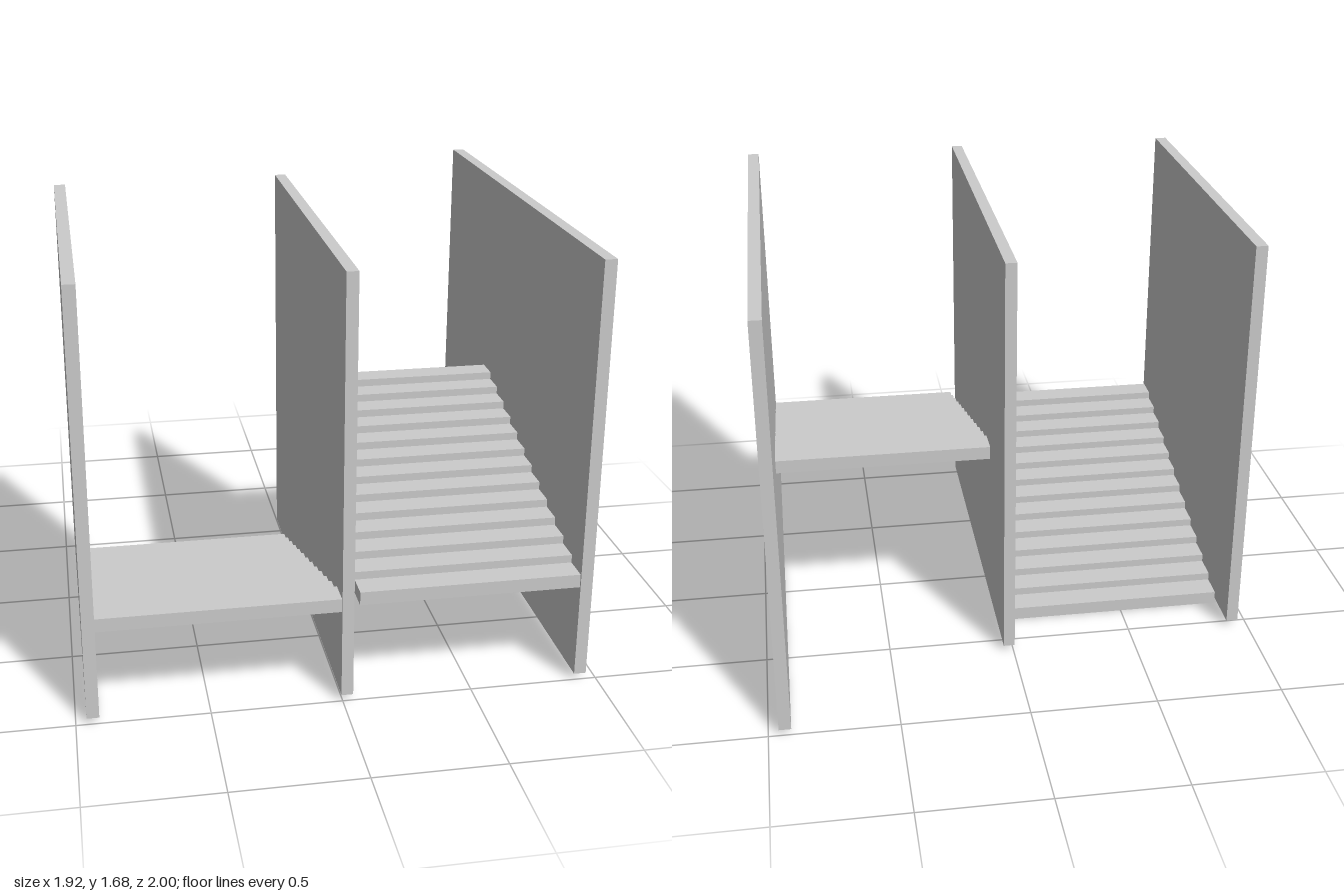
import * as THREE from 'three';

const material = new THREE.MeshStandardMaterial({ color: 0xcccccc, flatShading: true });

// Box given by its lower and upper limits on each axis
function block(name, [x0, x1], [y0, y1], [z0, z1]) {
  const mesh = new THREE.Mesh(new THREE.BoxGeometry(x1 - x0, y1 - y0, z1 - z0), material);
  mesh.name = name;
  mesh.position.set((x0 + x1) / 2, (y0 + y1) / 2, (z0 + z1) / 2);
  return mesh;
}

const STEPS = 13;
const RISE = 0.0313;
const THICKNESS = 0.053;
const BACK = -0.356;
const FRONT = 0.992;
const DEPTH = (FRONT - BACK) / STEPS;

// Straight flight of slab treads, counted from the back towards the front
function flight(name, xRange, baseY, risesToFront) {
  const group = new THREE.Group();
  group.name = name;
  for (let i = 0; i < STEPS; i++) {
    const level = risesToFront ? i : STEPS - 1 - i;
    const y = baseY + level * RISE;
    const z = BACK + i * DEPTH;
    group.add(block('tread', xRange, [y, y + THICKNESS], [z, z + DEPTH]));
  }
  return group;
}

export function createModel() {
  const model = new THREE.Group();
  model.name = 'staircase';

  // Three upright walls, flush at the front
  const wallY = [0.025, 1.68];
  model.add(block('rightWall', [-0.96, -0.913], wallY, [-0.535, 1]));
  model.add(block('middleWall', [-0.005, 0.04], wallY, [-0.58, 1]));
  model.add(block('leftWall', [0.913, 0.96], wallY, [-1, 1]));

  // Lower flight climbs to the front, upper flight climbs back from there
  model.add(flight('lowerFlight', [-0.945, 0.007], 0, true));
  model.add(flight('upperFlight', [0.063, 0.94], 0.397, false));

  return model;
}
